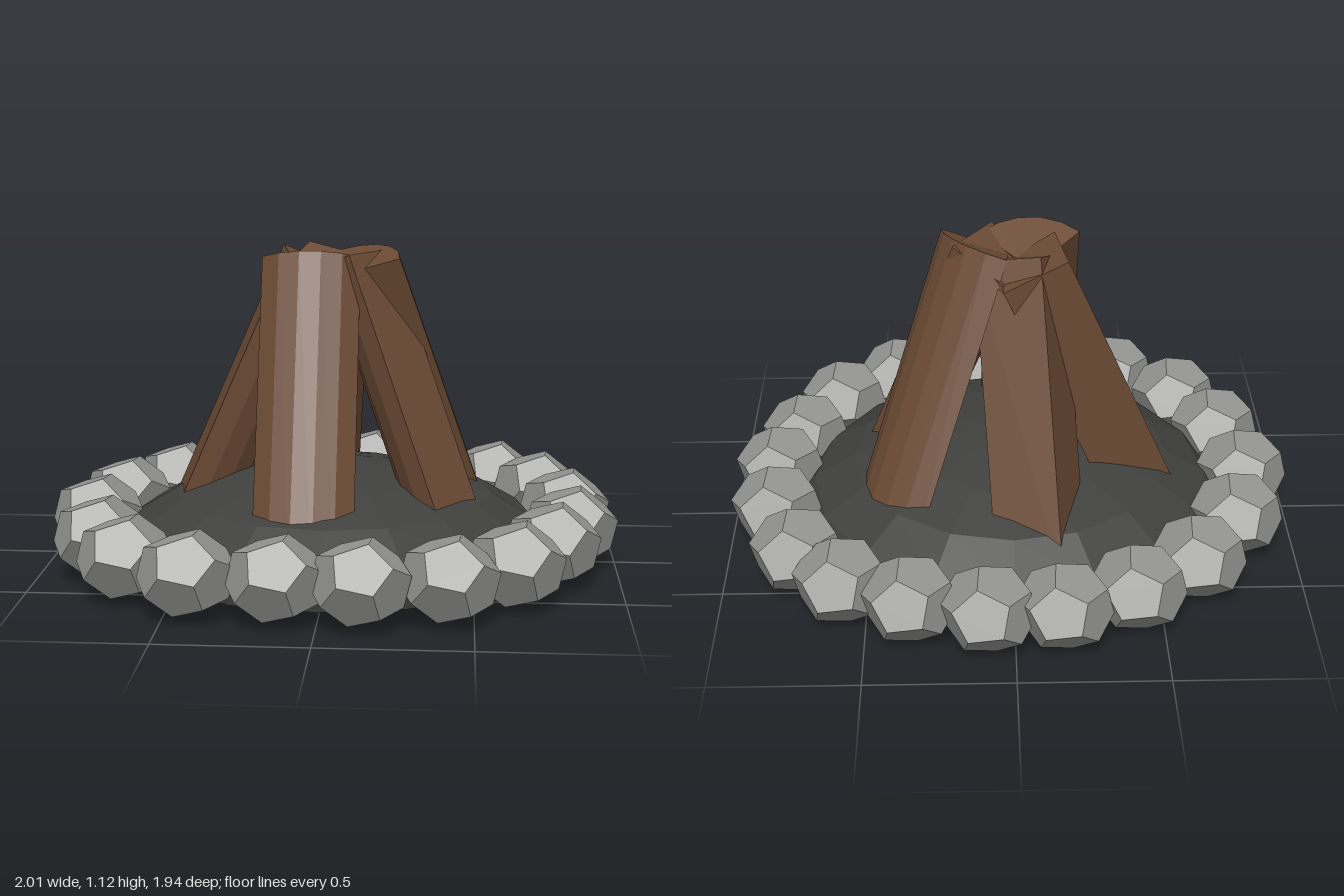
import * as THREE from 'three';

const flat = (color) => new THREE.MeshStandardMaterial({ color, flatShading: true });

export function createModel() {
  const model = new THREE.Group();
  const stone = flat(0x979795), wood = flat(0x6b4a34), ash = flat(0x40413e);

  // Mound of ash with a flat underside
  const profile = [[0, 0.035], [0.76, 0.035], [0.77, 0.08], [0.71, 0.16], [0.56, 0.25],
    [0.36, 0.31], [0.16, 0.345], [0, 0.35]].map(([x, y]) => new THREE.Vector2(x, y));
  const mound = new THREE.Mesh(new THREE.LatheGeometry(profile, 16), ash);
  mound.name = 'ashMound';
  model.add(mound);

  // Ring of squashed boulders, all facing the same way
  const boulder = new THREE.DodecahedronGeometry(0.165);
  boulder.rotateX(0.35).rotateZ(0.3).rotateY(0.3).scale(1, 0.87, 1.02);
  const spots = [[-0.16, -0.8], [0.09, -0.81], [0.35, -0.75], [0.58, -0.64], [0.74, -0.46],
    [0.83, -0.19], [0.84, 0.08], [0.765, 0.315], [0.635, 0.57], [0.42, 0.75], [0.14, 0.805],
    [-0.13, 0.785], [-0.42, 0.745], [-0.65, 0.57], [-0.78, 0.325], [-0.845, 0.02],
    [-0.79, -0.27], [-0.63, -0.53], [-0.41, -0.7]];
  const ring = new THREE.Group();
  ring.name = 'stoneRing';
  for (const [x, z] of spots) {
    const rock = new THREE.Mesh(boulder, stone);
    rock.name = 'stone';
    rock.position.set(x, 0.155, z);
    ring.add(rock);
  }
  model.add(ring);

  // Quarter-split log: a sector with its point at +y and its bark at -y
  const R = 0.24, length = 1.1, lean = 0.414, topY = 1.07;
  const sector = new THREE.Shape();
  sector.moveTo(0, R / 2);
  for (let i = 0; i <= 5; i++) {
    const a = -Math.PI * (0.75 - 0.1 * i);
    sector.lineTo(R * Math.cos(a), R / 2 + R * Math.sin(a));
  }
  const logShape = new THREE.ExtrudeGeometry(sector, { depth: length, bevelEnabled: false });
  logShape.translate(0, 0, -length); // origin at the upper end

  // Logs leaning together: top x, top z, outward heading, spin about own axis (degrees)
  const logs = [
    ['frontLog', -0.07, 0.03, 0, 0],
    ['rightLog', -0.1, -0.12, -81, 135],
    ['backLog', -0.05, -0.08, 189, 195],
    ['backLeftLog', 0.09, 0.01, 131, 0],
    ['frontLeftLog', 0.085, -0.04, 56, -135],
  ];
  const woodpile = new THREE.Group();
  woodpile.name = 'logs';
  for (const [name, x, z, heading, spin] of logs) {
    const log = new THREE.Mesh(logShape, wood);
    log.name = name;
    log.position.set(x, topY, z);
    log.rotation.set(-Math.PI / 2 - lean, THREE.MathUtils.degToRad(heading),
      THREE.MathUtils.degToRad(spin), 'YXZ');
    woodpile.add(log);
  }
  model.add(woodpile);
  return model;
}
